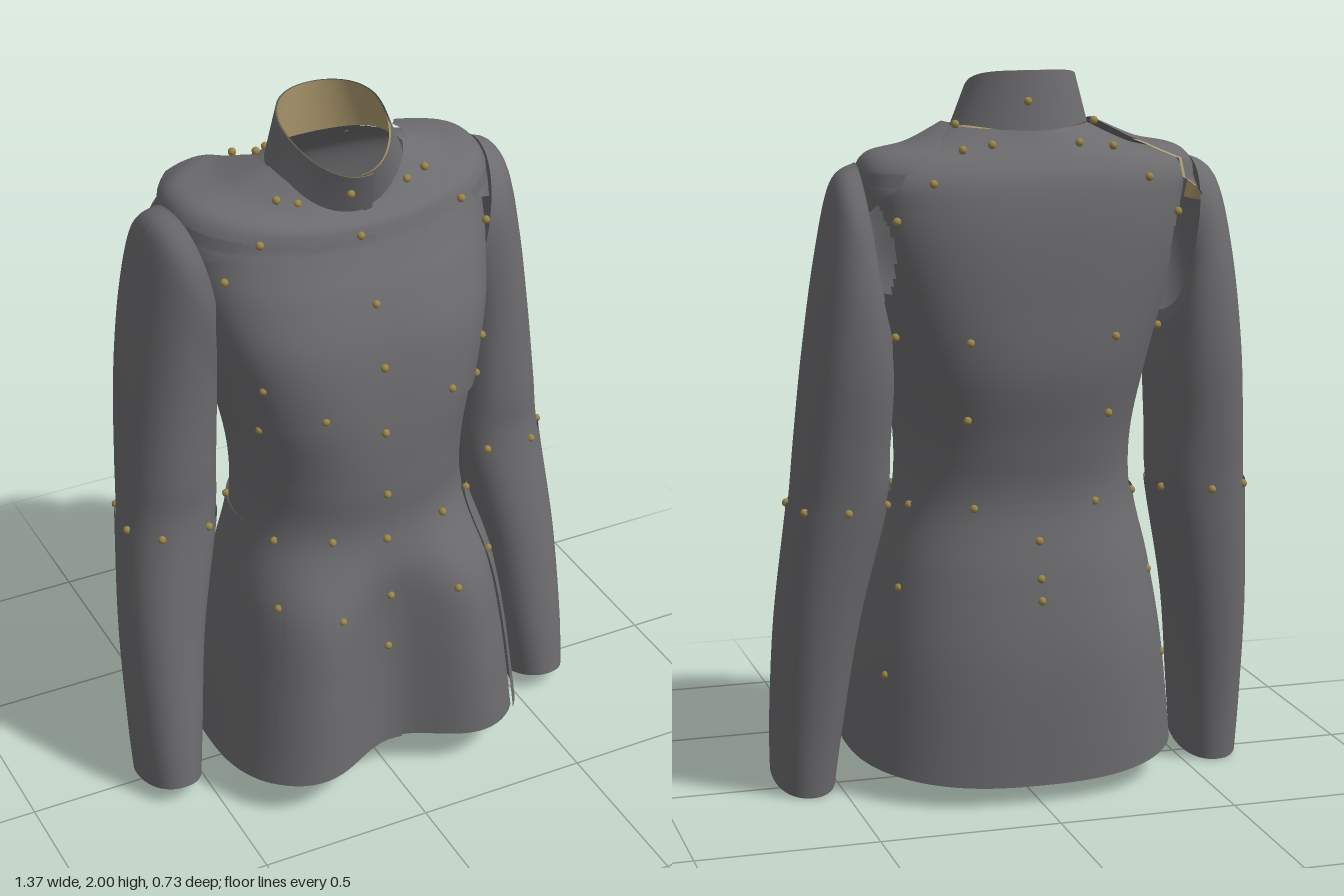
import * as THREE from 'three';

const cloth = new THREE.MeshStandardMaterial({ color: 0x6c6c6f, side: THREE.DoubleSide });
cloth.name = 'grey cloth';
const lining = new THREE.MeshStandardMaterial({ color: 0xb09c70, side: THREE.DoubleSide });
lining.name = 'tan lining';
const brass = new THREE.MeshStandardMaterial({ color: 0x9a8448 });
brass.name = 'brass';

const PI = Math.PI;
const spow = (a, e) => Math.sign(a) * Math.pow(Math.abs(a), e);

// Smooth interpolation through a list of cross-section rows
function rowAt(rows, v) {
  const last = rows.length - 1;
  const i = Math.min(last - 1, Math.max(0, Math.floor(v)));
  const f = v - i;
  const [a, b, c, d] = [rows[Math.max(0, i - 1)], rows[i], rows[i + 1], rows[Math.min(last, i + 2)]];
  return b.map((_, k) => {
    const m0 = (c[k] - a[k]) / 2, m1 = (d[k] - b[k]) / 2;
    const f2 = f * f, f3 = f2 * f;
    return (2 * f3 - 3 * f2 + 1) * b[k] + (f3 - 2 * f2 + f) * m0 + (3 * f2 - 2 * f3) * c[k] + (f3 - f2) * m1;
  });
}

// Grid surface; fn(u, v) with u, v in 0..1 returns a point, cut(point) leaves a hole
function sheet(name, fn, nu, nv, material = cloth, flip = false, cut = () => false) {
  const pos = [], idx = [];
  for (let i = 0; i <= nu; i++)
    for (let j = 0; j <= nv; j++) pos.push(...fn(i / nu, j / nv));
  for (let i = 0; i < nu; i++)
    for (let j = 0; j < nv; j++) {
      if (cut(fn((i + 0.5) / nu, (j + 0.5) / nv))) continue;
      const a = i * (nv + 1) + j, b = a + 1, c = a + nv + 1, d = c + 1;
      if (flip) idx.push(a, c, b, b, c, d);
      else idx.push(a, b, c, b, d, c);
    }
  const g = new THREE.BufferGeometry();
  g.setAttribute('position', new THREE.Float32BufferAttribute(pos, 3));
  g.setIndex(idx);
  g.computeVertexNormals();
  const mesh = new THREE.Mesh(g, material);
  mesh.name = name;
  return mesh;
}

// Body rows: half width, side z, front z, back z, front y, side y, back y,
// back squareness, front squareness, front dip
const BODY = [
  [0.457, 0.03, 0.43, -0.33, 0.12, 0.1, 0.055, 2.5, 2.6, 0.35],
  [0.42, 0.01, 0.43, -0.335, 0.4, 0.4, 0.38, 2.5, 2.5, 0.35],
  [0.38, 0, 0.405, -0.31, 0.63, 0.63, 0.62, 2.4, 2.4, 0.29],
  [0.335, -0.02, 0.275, -0.275, 0.83, 0.82, 0.83, 2.3, 2.3, 0],
  [0.33, -0.03, 0.275, -0.3, 1, 1, 1, 2.3, 2.3, 0],
  [0.363, -0.05, 0.285, -0.345, 1.2, 1.2, 1.2, 2.4, 2.4, 0.06],
  [0.405, -0.08, 0.255, -0.352, 1.4, 1.4, 1.4, 2.7, 2.5, 0.06],
  [0.43, -0.11, 0.195, -0.35, 1.54, 1.55, 1.55, 2.9, 2.4, 0.02],
  [0.437, -0.13, 0.15, -0.34, 1.62, 1.65, 1.65, 3, 2.3, 0],
  [0.44, -0.14, 0.12, -0.323, 1.68, 1.718, 1.72, 3, 2.2, 0],
  [0.405, -0.14, 0.105, -0.295, 1.715, 1.77, 1.765, 2.8, 2.2, 0],
  [0.3, -0.12, 0.08, -0.26, 1.73, 1.797, 1.805, 2.4, 2.1, 0],
  [0.19, -0.085, 0.055, -0.23, 1.74, 1.85, 1.845, 2, 2, 0],
];
const NECK = BODY.length - 1, WAIST = 3;

// Point of the body surface: t runs round from the left side (0) over the front (PI/2)
function body(t, v, off = 0) {
  const [w, zc, zf, zb, yf, ys, yb, nb, nf, dip] = rowAt(BODY, v);
  const front = Math.sin(t) > 0, e = 2 / (front ? nf : nb);
  const c = spow(Math.cos(t), e), s = spow(Math.sin(t), e);
  const x = c * (w + off);
  let z = zc + (front ? zf - zc + off : zc - zb + off) * s;
  if (front) z -= dip * zf * s * Math.exp(-((x / 0.2) ** 2));
  const y = ys + ((front ? yf : yb) - ys) * s * s + (v > 9 ? off : 0);
  return [x, y, z];
}
// Armholes under the sleeve heads
const armhole = ([x, y, z]) => Math.abs(x) > 0.33 && ((y - 1.55) / 0.16) ** 2 + ((z + 0.13) / 0.13) ** 2 < 1;
const panel = (name, t0, t1, v0, v1, off, nu = 48, nv = 24) => sheet(name, (u, k) => {
  const t = t0 + (t1 - t0) * u;
  const a = typeof v0 === 'function' ? v0(t) : v0, b = typeof v1 === 'function' ? v1(t) : v1;
  return body(t, a + (b - a) * k, off);
}, nu, nv, cloth, false, armhole);

// Sleeve rows: x, y, z, x radius, z radius, rise on the outer side, rise to the front
const SLEEVE = [
  [0.425, 1.545, -0.125, 0.035, 0.165, 0.215, 0],
  [0.45, 1.5, -0.132, 0.078, 0.176, 0.21, 0],
  [0.473, 1.38, -0.14, 0.102, 0.178, 0.13, 0],
  [0.49, 1.2, -0.137, 0.122, 0.17, 0.05, 0],
  [0.505, 1, -0.12, 0.13, 0.153, 0.01, 0],
  [0.516, 0.835, -0.105, 0.133, 0.138, 0, 0],
  [0.565, 0.5, -0.05, 0.111, 0.136, 0, 0.01],
  [0.588, 0.2, 0, 0.094, 0.133, 0, 0.02],
  [0.596, 0.032, 0.022, 0.082, 0.13, 0, 0.03],
];
function sleeve(side, t, v, off = 0) {
  const [x, y, z, rx, rz, up, fwd] = rowAt(SLEEVE, v);
  const c = spow(Math.cos(t), 0.9), s = spow(Math.sin(t), 0.9);
  const skew = 0.02 * Math.max(0, 1 - v / 6);
  return [side * (x + (rx + off) * c - skew * s), y + up * c + fwd * s, z + (rz + off) * s];
}

// Collar: open band with a small overlap at the front, higher at the back, leaning forward
function collar(u, k, off) {
  const t = PI / 2 - 0.2 + u * (2 * PI + 0.2);
  const c = Math.cos(t), s = Math.sin(t), o = off + 0.012 * (1 - u);
  const mix = (a, b) => a + (b - a) * k;
  const y = mix(1.84 - 0.055 * s - 0.055 * s * s, 1.962 - 0.0675 * s - 0.0295 * s * s);
  const z = -0.075 + s * (s > 0 ? mix(0.13, 0.177) : mix(0.152, 0.13)) + o * s;
  return [c * (mix(0.187, 0.145) + o) - 0.008 * k, y, z];
}

// Shoulder yoke: widest halfway up; the right one lifts off the back a little
function yoke(mid, u, k, off) {
  const spread = 0.3 + 0.62 * Math.sin(PI * k);
  const lift = mid > 0 && u > 0.5 ? 0.035 * (2 * u - 1) ** 2 * (1 - k) : 0;
  return body(mid + (u * 2 - 1) * spread, 7.9 + (NECK - 8) * k, off + 0.01 * (1 - k) + lift);
}

export function createModel() {
  const jacket = new THREE.Group();
  jacket.name = 'jacket';
  const seam = PI / 2 - 0.03, sideL = 0.12, sideR = PI - 0.12, skirtL = 0.65, skirtR = PI - 0.65;

  // Skirt of the jacket
  jacket.add(
    panel('skirtFrontLeft', skirtL - 0.04, seam + 0.02, 0, WAIST + 0.05, -0.001),
    panel('skirtFrontRight', seam, skirtR + 0.04, 0, WAIST + 0.05, 0.007),
    panel('skirtBack', skirtR, 2 * PI + skirtL, 0, WAIST + 0.05, 0.008, 72));

  // Waist and chest meet on a curved seam under the bust
  const bust = t => 4.93 + 0.8 * Math.pow(Math.max(0, 1 - Math.abs(body(t, 5)[0]) / 0.29), 1.5);
  jacket.add(
    panel('waistLeft', sideL, seam + 0.02, WAIST, t => bust(t) + 0.1, -0.006),
    panel('waistRight', seam, sideR, WAIST, t => bust(t) + 0.1, 0),
    panel('chestLeft', sideL, seam + 0.02, bust, NECK, 0.004, 48, 48),
    panel('chestRight', seam, sideR, bust, NECK, 0.009, 48, 48),
    panel('back', sideR, 2 * PI + sideL, WAIST, NECK, 0, 72, 64));

  // Shoulder yokes lie over the chest and back; the lifted edge shows its lining
  for (const [name, mid] of [['leftShoulder', 0], ['rightShoulder', PI]])
    jacket.add(sheet(name, (u, k) => yoke(mid, u, k, 0.014), 40, 32));
  jacket.add(sheet('rightShoulderLining', (u, k) => yoke(PI, 0.55 + 0.45 * u, k * 0.7, 0.011), 24, 24, lining, true));

  // Sleeves, each in an upper and a lower part
  for (const side of [1, -1]) {
    const label = side > 0 ? 'left' : 'right';
    jacket.add(
      sheet(label + 'UpperSleeve', (u, k) => sleeve(side, u * 2 * PI, 5.03 * k), 48, 50, cloth, side > 0),
      sheet(label + 'LowerSleeve', (u, k) => sleeve(side, u * 2 * PI, 4.97 + 3.03 * k, 0.005), 48, 24, cloth, side > 0));
  }

  // Standing collar with its lining
  jacket.add(
    sheet('collar', (u, k) => collar(u, k, 0), 72, 8),
    sheet('collarLining', (u, k) => collar(u, k, -0.005), 72, 8, lining, true));

  // Brass studs, half sunk into the cloth
  const studs = new THREE.Group();
  studs.name = 'studs';
  const ball = new THREE.SphereGeometry(0.0115, 10, 8);
  const stud = p => {
    const m = new THREE.Mesh(ball, brass);
    m.name = 'stud';
    m.position.set(...p);
    studs.add(m);
  };
  // find the body point seen at (x, y) from the front or the back
  const onBody = (x, y, front, off = 0.006) => {
    let best = null, bd = 1e9;
    for (let i = 0; i <= 160; i++)
      for (let j = 0; j <= 180; j++) {
        const p = body((front ? 0 : PI) + (PI * i) / 160, (NECK * j) / 180, off);
        const d = (p[0] - x) ** 2 + (p[1] - y) ** 2;
        if (d < bd) { bd = d; best = p; }
      }
    stud(best);
  };
  for (const y of [1.7, 1.53, 1.36, 1.17, 0.98, 0.835, 0.65, 0.47]) onBody(-0.02, y, true, 0.009);
  for (const s of [1, -1]) {
    for (const [x, y] of [[0.16, 1.78], [0.33, 1.33], [0.33, 1.19], [0.19, 1.24], [0.41, 1.5],
      [0.17, 0.835], [0.3, 0.82], [0.18, 0.63], [0.33, 0.66]]) onBody(s * x, y, true);
    for (const [x, y] of [[0.39, 1.62], [0.3, 1.71], [0.22, 1.8]]) onBody(s * x, y, true, 0.02);
    for (const [x, y] of [[0.12, 1.81], [0.2, 1.3], [0.2, 1.08], [0.17, 0.83], [0.32, 0.82],
      [0.36, 0.6], [0.4, 0.35], [0.37, 1.3]]) onBody(s * x, y, false);
    for (const [x, y] of [[0.21, 1.8], [0.3, 1.73], [0.39, 1.62]]) onBody(s * x, y, false, 0.018);
    for (const a of [0.25, 1.1, 2.1, 3.6, 4.7, 5.6]) stud(sleeve(s, a, 5, 0.004));
    stud(body(s > 0 ? -0.45 : PI + 0.45, NECK - 0.15, 0.014));
  }
  for (const y of [0.73, 0.63, 0.57]) onBody(0, y, false, 0.01);
  stud(collar(0.06, 0.6, 0.004));
  stud(collar(0.53, 0.5, 0.008));
  jacket.add(studs);
  return jacket;
}
